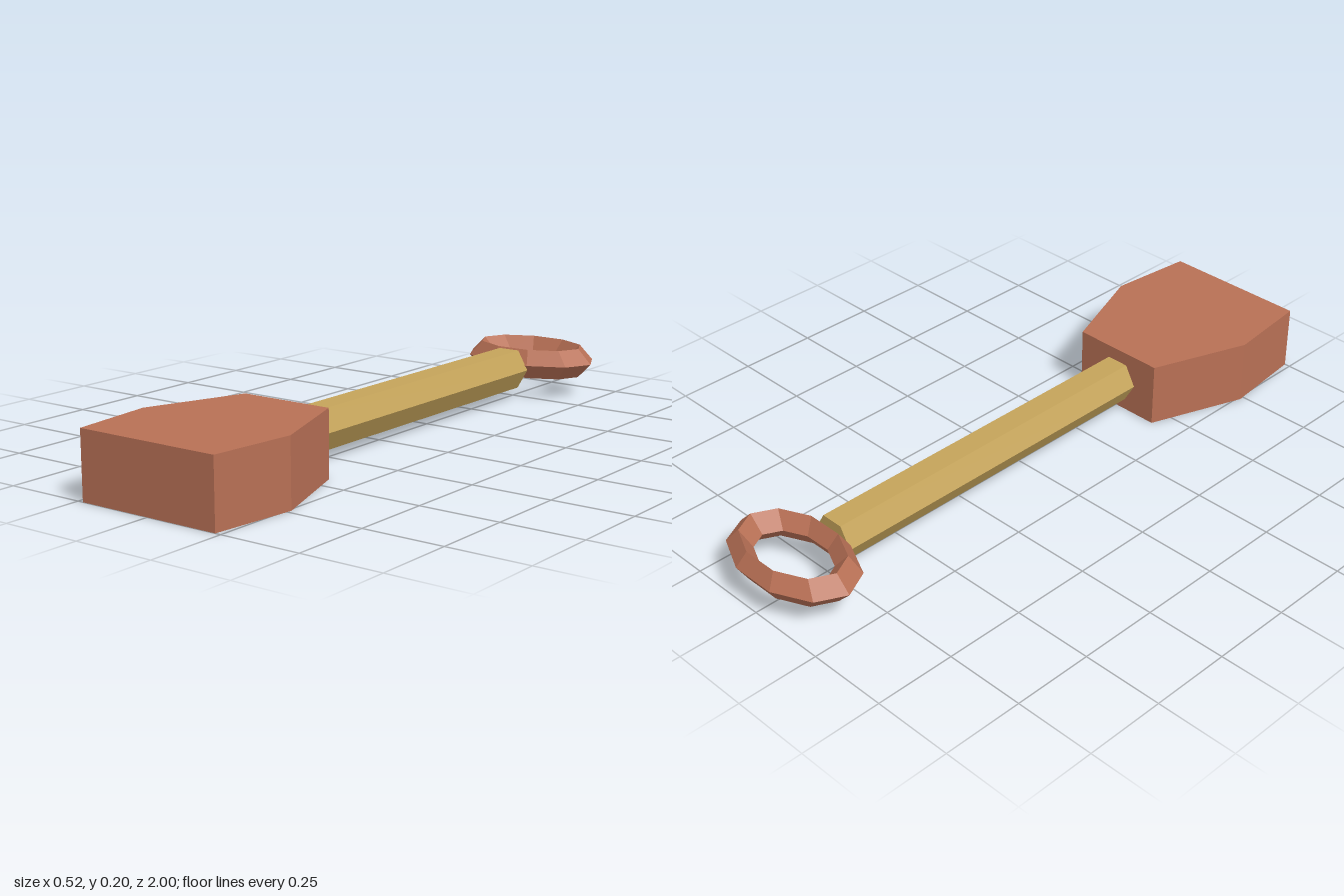
import * as THREE from 'three';

export function createModel() {
  const group = new THREE.Group();
  const clay = new THREE.MeshStandardMaterial({ name: 'clay red', color: 0xb87055, flatShading: true });
  const wood = new THREE.MeshStandardMaterial({ name: 'tan wood', color: 0xc4a35a, flatShading: true });

  const add = (name, geometry, material) => {
    const mesh = new THREE.Mesh(geometry, material);
    mesh.name = name;
    group.add(mesh);
  };

  // Blade: six-sided outline seen from above, extruded to a thick slab
  const outline = [[-0.15, 0.435], [0.15, 0.435], [0.26, 0.735], [0.232, 1], [-0.232, 1], [-0.26, 0.735]];
  const shape = new THREE.Shape(outline.map(([x, z]) => new THREE.Vector2(x, z)));
  const blade = new THREE.ExtrudeGeometry(shape, { depth: 0.202, bevelEnabled: false });
  blade.rotateX(Math.PI / 2).translate(0, 0.202, 0);
  add('blade', blade, clay);

  // Shaft: hexagonal bar with flat top and bottom
  const shaft = new THREE.CylinderGeometry(0.072, 0.072, 1.157, 6);
  shaft.rotateY(Math.PI / 6).rotateX(Math.PI / 2).translate(0, 0.098, -0.1435);
  add('shaft', shaft, wood);

  // Grip: ten-sided oval ring with a diamond cross-section
  const grip = new THREE.TorusGeometry(0.1835, 0.0475, 4, 10);
  grip.rotateX(Math.PI / 2).scale(1, 1, 0.64).translate(0, 0.113, -0.859);
  add('gripRing', grip, clay);

  return group;
}
